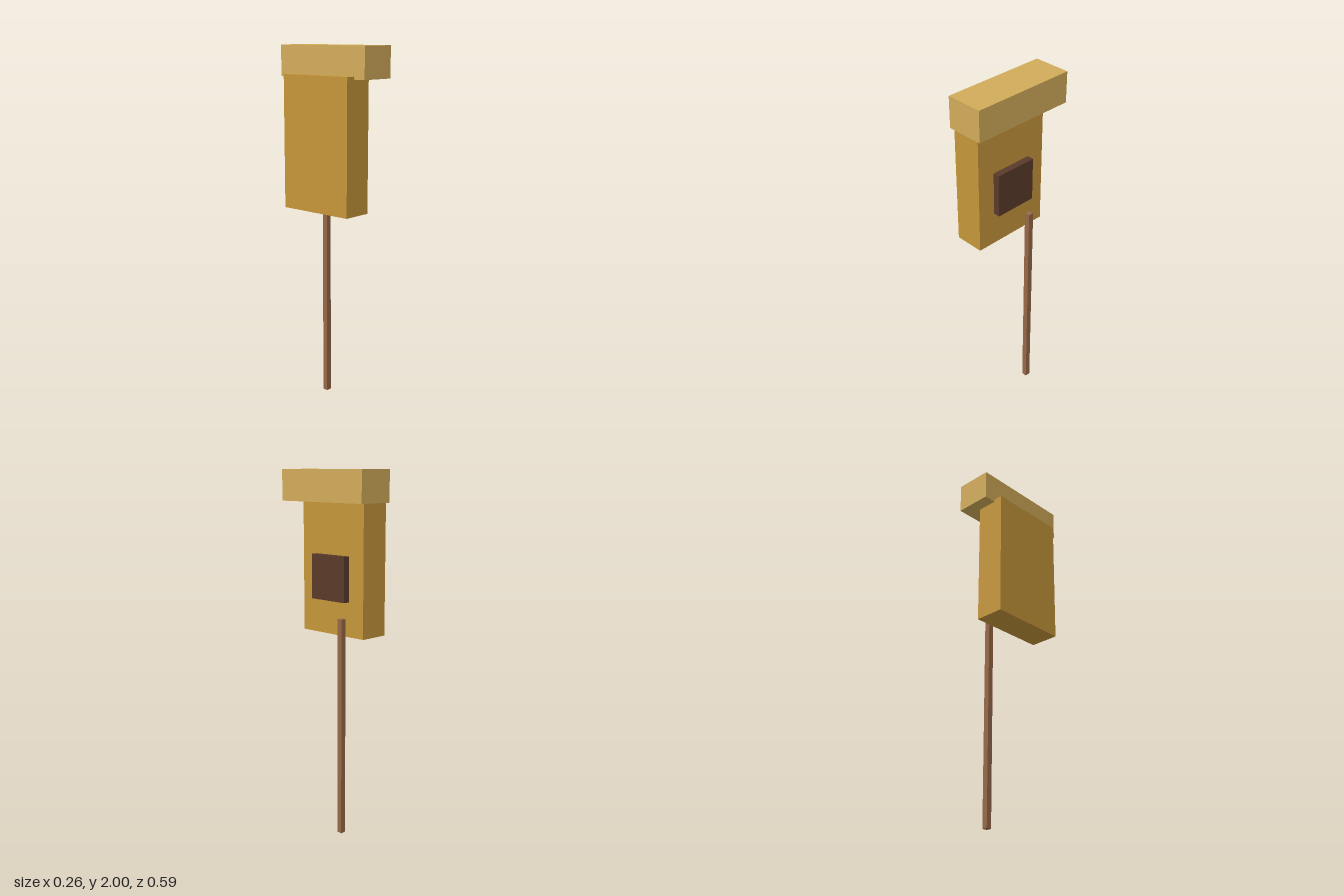
import * as THREE from 'three';

// Box given by its minimum and maximum corners
function addBox(group, name, color, min, max) {
  const size = max.map((v, i) => v - min[i]);
  const mesh = new THREE.Mesh(
    new THREE.BoxGeometry(...size),
    new THREE.MeshStandardMaterial({ color, flatShading: true })
  );
  mesh.position.set(...max.map((v, i) => (v + min[i]) / 2));
  mesh.name = name;
  group.add(mesh);
}

export function createModel() {
  const group = new THREE.Group();
  group.name = 'birdhouse';

  // Main box and the overhanging roof slab
  addBox(group, 'body', 0xc6963a, [-0.131, 1.118, -0.226], [0.038, 1.846, 0.226]);
  addBox(group, 'roof', 0xd2ac5a, [-0.079, 1.831, -0.296], [0.129, 2, 0.296]);

  // Dark entrance plate on the left face
  addBox(group, 'entrancePlate', 0x5a3a2a, [0.03, 1.307, -0.121], [0.076, 1.551, 0.123]);

  // Thin square post standing beside the body
  addBox(group, 'post', 0x966848, [0.059, 0, -0.117], [0.09, 1.219, -0.086]);

  return group;
}
